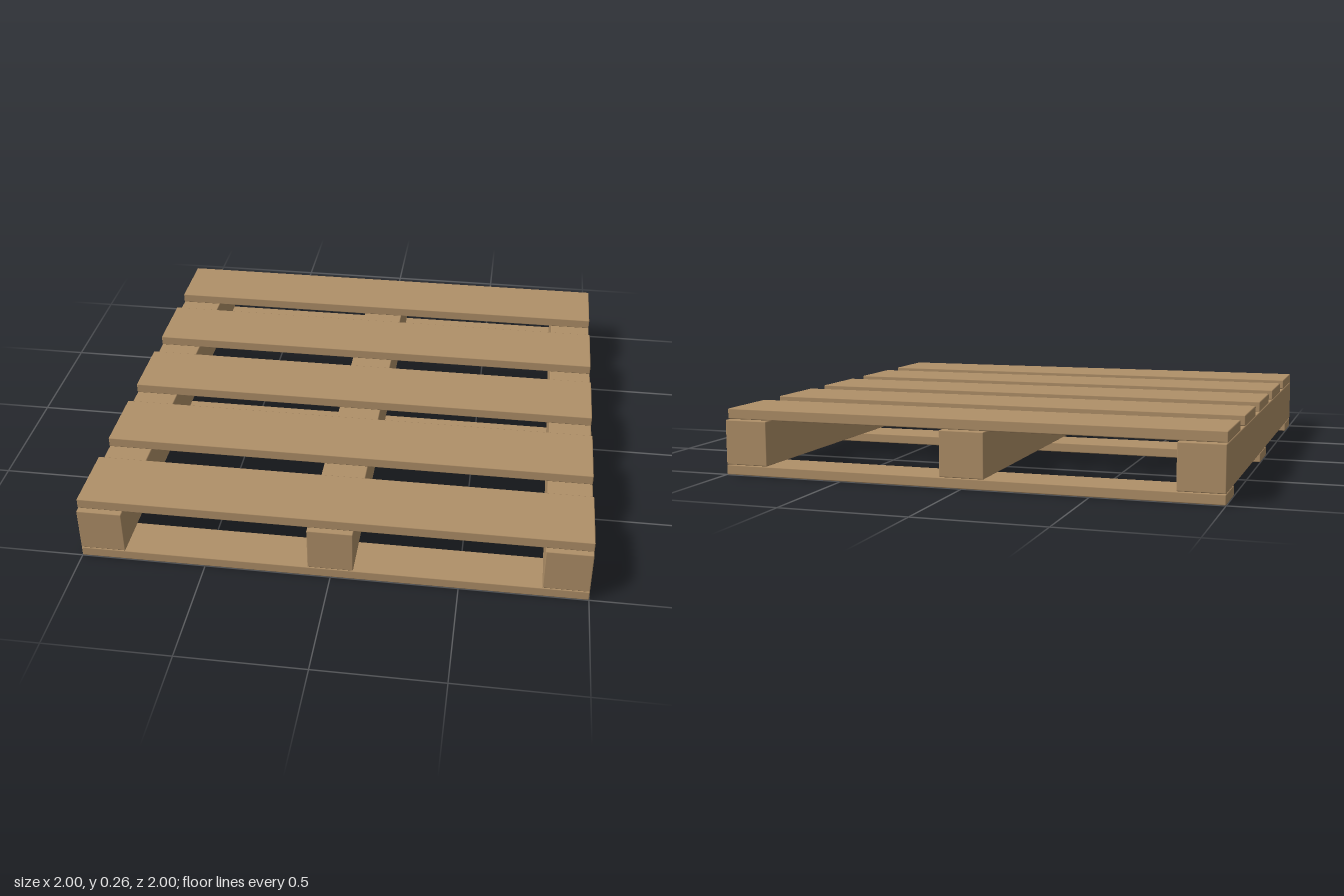
import * as THREE from 'three';
import { RoundedBoxGeometry } from 'three/addons/geometries/RoundedBoxGeometry.js';

export function createModel() {
  const pallet = new THREE.Group();
  pallet.name = 'pallet';

  const wood = new THREE.MeshStandardMaterial({ color: 0xb09068 });
  wood.name = 'wood';

  // A plank with slightly eased edges, placed by its underside
  function plank(name, width, height, depth, x, bottom, z) {
    const mesh = new THREE.Mesh(new RoundedBoxGeometry(width, height, depth, 1, 0.004), wood);
    mesh.name = name;
    mesh.position.set(x, bottom + height / 2, z);
    pallet.add(mesh);
  }

  // Three bottom boards across, three stringers front to back
  for (const i of [-1, 0, 1]) {
    plank('bottomBoard', 2, 0.04, 0.18, 0, 0, i * 0.91);
    plank('stringer', 0.18, 0.18, 2, i * 0.91, 0.041, 0);
  }

  // Five deck boards across the top
  for (let i = -2; i <= 2; i++) {
    plank('deckBoard', 2, 0.042, 0.287, 0, 0.222, i * 0.418);
  }

  return pallet;
}
